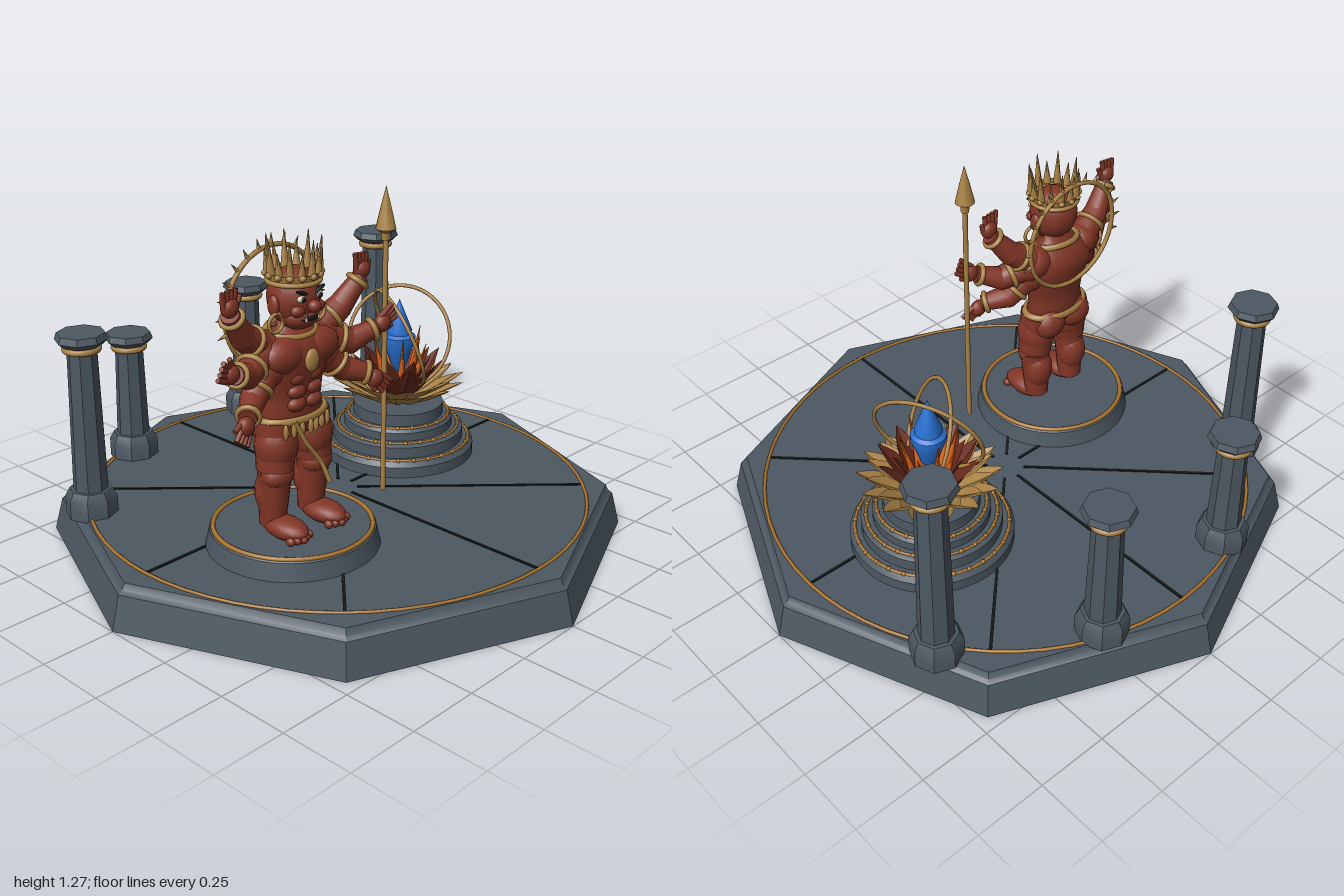
import * as THREE from 'three';
import { toCreasedNormals } from 'three/addons/utils/BufferGeometryUtils.js';

const mat = (name, color, side = THREE.FrontSide) => Object.assign(new THREE.MeshStandardMaterial({ color, side }), { name });
const V = (x, y, z) => new THREE.Vector3(x, y, z);

export function createModel() {
  const stone = mat('slate stone', 0x4d5862), dark = mat('dark groove', 0x15181b);
  const gold = mat('gold', 0xa98144, THREE.DoubleSide), trim = mat('bronze trim', 0xa8722c);
  const skin = mat('red skin', 0x823626), petalRed = mat('deep red petal', 0x6a2a1c, THREE.DoubleSide);
  const orange = mat('flame orange', 0xdc6418), blue = mat('blue jewel', 0x2a72d4), ivory = mat('ivory', 0xd8ccb0);

  const root = new THREE.Group();
  const add = (parent, name, geo, m, x = 0, y = 0, z = 0) => {
    const mesh = new THREE.Mesh(geo, m);
    mesh.name = name;
    mesh.position.set(x, y, z);
    parent.add(mesh);
    return mesh;
  };
  const group = (parent, name, x = 0, y = 0, z = 0) => {
    const g = new THREE.Group();
    g.name = name;
    g.position.set(x, y, z);
    parent.add(g);
    return g;
  };
  const ball = (p, name, m, x, y, z, rx, ry = rx, rz = rx) => {
    const b = add(p, name, new THREE.SphereGeometry(1, 16, 12), m, x, y, z);
    b.scale.set(rx, ry, rz);
    return b;
  };
  // Tapered rod from a to b
  const limb = (p, name, m, a, b, ra, rb, seg = 12) => {
    const d = b.clone().sub(a);
    const mesh = add(p, name, new THREE.CylinderGeometry(rb, ra, d.length(), seg), m);
    mesh.position.copy(a).addScaledVector(d, 0.5);
    mesh.quaternion.setFromUnitVectors(V(0, 1, 0), d.normalize());
    return mesh;
  };
  const ring = (p, name, m, y, r, t, x = 0, z = 0) => {
    const o = add(p, name, new THREE.TorusGeometry(r, t, 8, 64), m, x, y, z);
    o.rotation.x = Math.PI / 2;
    return o;
  };
  const lathe = (pts, seg) => toCreasedNormals(new THREE.LatheGeometry(pts.map(q => new THREE.Vector2(...q)), seg), 0.6);
  const around = (n, fn, off = 0) => { for (let i = 0; i < n; i++) fn(((i + off) / n) * Math.PI * 2, i); };

  // Octagonal platform with inlaid ring and grooves
  add(root, 'platform', lathe([[0, 0], [1, 0], [0.97, 0.115], [0.955, 0.125], [0.945, 0.147], [0, 0.147]], 8), stone);
  ring(root, 'platformRing', trim, 0.148, 0.863, 0.006);
  around(8, a => {
    const g = add(root, 'groove', new THREE.BoxGeometry(0.79, 0.005, 0.01), dark, Math.cos(a) * 0.46, 0.148, -Math.sin(a) * 0.46);
    g.rotation.y = a;
  });

  // Octagonal columns: x, z, height of the top
  for (const [x, z, h] of [[-0.71, -0.475, 0.785], [-0.305, -0.76, 0.62], [0.285, -0.775, 0.68], [0.73, -0.495, 0.855]]) {
    const c = group(root, 'column', x, 0, z);
    add(c, 'columnStone', lathe([[0, 0.14], [0.088, 0.14], [0.088, 0.205], [0.072, 0.235], [0.059, 0.235], [0.05, h - 0.045],
      [0.07, h - 0.04], [0.088, h - 0.022], [0.08, h], [0, h]], 8), stone);
    ring(c, 'columnBand', gold, h - 0.055, 0.055, 0.011);
  }

  // Round dais under the figure
  const statue = group(root, 'guardianFigure', -0.39, 0, 0.17);
  add(statue, 'dais', lathe([[0, 0.14], [0.285, 0.14], [0.27, 0.205], [0.262, 0.212], [0, 0.212]], 48), stone);
  ring(statue, 'daisRing', trim, 0.212, 0.258, 0.008);

  // Torso
  add(statue, 'torso', new THREE.LatheGeometry([[0, 0.53], [0.09, 0.54], [0.125, 0.58], [0.112, 0.64], [0.12, 0.7], [0.15, 0.77],
    [0.155, 0.82], [0.11, 0.87], [0.055, 0.885], [0.05, 0.93]].map(q => new THREE.Vector2(...q)), 28), skin).scale.z = 0.58;
  for (const s of [-1, 1]) {
    ball(statue, 'chestMuscle', skin, s * 0.07, 0.81, 0.04, 0.088, 0.06, 0.052);
    for (const y of [0.735, 0.69, 0.647]) ball(statue, 'abdomen', skin, s * 0.034, y, 0.056, 0.036, 0.025, 0.026);
    ball(statue, 'buttock', skin, s * 0.06, 0.56, -0.04, 0.065, 0.06, 0.05);
    // Leg
    const lx = s * 0.085;
    limb(statue, 'thigh', skin, V(lx, 0.43, 0.01), V(s * 0.07, 0.59, 0), 0.06, 0.07, 16);
    ball(statue, 'thighMuscle', skin, s * 0.077, 0.51, 0.008, 0.072, 0.09, 0.07);
    ball(statue, 'knee', skin, lx, 0.415, 0.02, 0.058, 0.045, 0.05);
    limb(statue, 'shin', skin, V(lx, 0.24, -0.005), V(lx, 0.42, 0.008), 0.043, 0.055, 16);
    ball(statue, 'calf', skin, lx, 0.35, -0.012, 0.054, 0.08, 0.05);
    ball(statue, 'foot', skin, lx, 0.243, 0.055, 0.053, 0.036, 0.09);
    for (let i = -2; i <= 2; i++) ball(statue, 'toe', skin, lx + i * 0.02, 0.227, 0.132 - Math.abs(i) * 0.008, 0.013, 0.014, 0.017);
  }

  // Belt, hanging drops, sash and necklace
  const belt = ring(statue, 'belt', gold, 0.597, 0.124, 0.014);
  belt.scale.y = 0.62;
  for (let i = -3; i <= 3; i++) ball(statue, 'beltDrop', gold, i * 0.03, 0.57, 0.085 - Math.abs(i) * 0.006, 0.01, 0.026, 0.008);
  add(statue, 'sash', new THREE.TubeGeometry(new THREE.CatmullRomCurve3(
    [V(-0.06, 0.6, 0.075), V(-0.02, 0.52, 0.085), V(0.035, 0.44, 0.095), V(0.058, 0.37, 0.11)]), 24, 0.008, 8), gold);
  const collar = ring(statue, 'necklace', gold, 0.872, 0.085, 0.012);
  collar.scale.y = 0.75;
  collar.rotation.x += 0.2;
  ball(statue, 'pendant', gold, 0, 0.79, 0.093, 0.028, 0.038, 0.014);

  // Head and face
  const head = group(statue, 'head', 0, 0.97, 0.015);
  ball(head, 'skull', skin, 0, 0.01, 0, 0.084, 0.095, 0.084);
  ball(head, 'jaw', skin, 0, -0.045, 0.022, 0.066, 0.045, 0.06);
  ball(head, 'nose', skin, 0, -0.005, 0.088, 0.022, 0.02, 0.022);
  ball(head, 'mouth', dark, 0, -0.045, 0.07, 0.036, 0.009, 0.016);
  for (const s of [-1, 1]) {
    ball(head, 'ear', skin, s * 0.085, -0.005, 0, 0.014, 0.034, 0.022);
    ball(head, 'eye', ivory, s * 0.035, 0.02, 0.071, 0.018, 0.011, 0.011);
    ball(head, 'pupil', dark, s * 0.035, 0.02, 0.079, 0.009, 0.009, 0.006);
    ball(head, 'brow', dark, s * 0.037, 0.04, 0.073, 0.025, 0.006, 0.01).rotation.z = s * 0.35;
    ball(head, 'cheek', skin, s * 0.042, -0.018, 0.06, 0.026, 0.02, 0.02);
    limb(head, 'fang', ivory, V(s * 0.026, -0.05, 0.08), V(s * 0.028, -0.026, 0.084), 0.005, 0.001, 8);
    add(head, 'earring', new THREE.TorusGeometry(0.029, 0.006, 8, 24), gold, s * 0.09, -0.055, 0.015);
  }

  // Crown: band, beads and spikes
  add(head, 'crownBand', new THREE.CylinderGeometry(0.086, 0.08, 0.03, 32, 1, true), gold, 0, 0.075, 0);
  ring(head, 'crownRim', gold, 0.062, 0.082, 0.008);
  around(14, (a, i) => {
    const x = Math.sin(a), z = Math.cos(a), tall = i % 2 ? 0.16 : 0.198;
    limb(head, 'crownSpike', gold, V(x * 0.078, 0.08, z * 0.078), V(x * 0.087, tall, z * 0.087), 0.015, 0.001, 6);
    ball(head, 'crownBead', gold, x * 0.086, 0.085, z * 0.086, 0.011);
  });

  // Spiked halo behind the head
  const halo = group(statue, 'halo', 0, 0.925, -0.08);
  add(halo, 'haloRing', new THREE.TorusGeometry(0.195, 0.008, 8, 64), gold);
  for (let i = 0; i <= 14; i++) {
    const a = -0.25 + (i / 14) * (Math.PI + 0.5), x = Math.cos(a), y = Math.sin(a);
    limb(halo, 'haloSpike', gold, V(x * 0.195, y * 0.195, 0), V(x * 0.233, y * 0.233, 0), 0.008, 0.001, 6);
  }

  // Three pairs of arms: shoulder, elbow, wrist, fingertip direction
  const arms = [
    [V(0.11, 0.83, -0.01), V(0.205, 0.895, 0.01), V(0.277, 0.985, 0.035), V(0.1, 1, 0.1)],
    [V(0.13, 0.82, 0), V(0.22, 0.785, 0.04), V(0.305, 0.82, 0.08), V(0.75, 0.35, 0.2)],
    [V(0.12, 0.77, 0.01), V(0.195, 0.7, 0.035), V(0.268, 0.675, 0.09), V(0.55, -0.8, 0.25)],
  ];
  for (const s of [-1, 1]) arms.forEach(pts => {
    const arm = group(statue, s > 0 ? 'leftArm' : 'rightArm');
    const [sh, el, wr, dir] = pts.map(p => V(p.x * s, p.y, p.z));
    dir.normalize();
    limb(arm, 'upperArm', skin, sh, el, 0.054, 0.042, 14);
    ball(arm, 'shoulder', skin, sh.x, sh.y, sh.z, 0.06);
    ball(arm, 'elbow', skin, el.x, el.y, el.z, 0.042);
    limb(arm, 'forearm', skin, el, wr, 0.042, 0.029, 14);
    const band = (a, b, t, r) => {
      const o = add(arm, 'armBand', new THREE.TorusGeometry(r, 0.009, 8, 24), gold);
      o.position.lerpVectors(a, b, t);
      o.quaternion.setFromUnitVectors(V(0, 0, 1), b.clone().sub(a).normalize());
    };
    band(sh, el, 0.65, 0.046);
    band(el, wr, 0.85, 0.033);
    const palm = wr.clone().addScaledVector(dir, 0.024);
    ball(arm, 'palm', skin, palm.x, palm.y, palm.z, 0.031, 0.031, 0.024);
    const across = V(dir.y, -dir.x, 0).normalize();
    for (let i = -2; i <= 2; i++) {
      const a = palm.clone().addScaledVector(across, i * 0.012);
      const b = a.clone().addScaledVector(dir, i === 2 ? 0.03 : 0.055).addScaledVector(across, i * 0.005 - s * 0.008);
      limb(arm, 'finger', skin, a, b, 0.01, 0.008, 8);
    }
  });

  // Spear
  const spear = group(root, 'spear', -0.035, 0, 0.24);
  limb(spear, 'shaft', gold, V(0, 0.23, 0), V(0, 1.13, 0), 0.009, 0.009);
  add(spear, 'spearHead', lathe([[0, 1.09], [0.014, 1.095], [0.016, 1.12], [0.034, 1.132], [0.018, 1.2], [0, 1.27]], 12), gold);

  // Stepped lotus pedestal
  const lotus = group(root, 'lotusShrine', 0.41, 0, -0.085);
  add(lotus, 'steps', lathe([[0, 0.14], [0.28, 0.14], [0.28, 0.185], [0.265, 0.205], [0.24, 0.205], [0.24, 0.245], [0.225, 0.255],
    [0.2, 0.255], [0.2, 0.285], [0.19, 0.297], [0.165, 0.297], [0.165, 0.34], [0, 0.34]], 48), stone);
  [[0.205, 0.262, 30], [0.255, 0.222, 26], [0.298, 0.186, 22]].forEach(([y, r, n]) => {
    ring(lotus, 'stepTrim', trim, y, r, 0.005);
    around(n, a => ball(lotus, 'stud', trim, Math.sin(a) * r, y, Math.cos(a) * r, 0.008));
  });

  // Petal: folded leaf rising from (r0, y0) to (r1, y1)
  const petals = (name, m, n, off, r0, y0, r1, y1, w) => {
    const geo = new THREE.PlaneGeometry(2, 1, 2, 6), p = geo.attributes.position;
    for (let i = 0; i < p.count; i++) {
      const t = p.getY(i) + 0.5, u = p.getX(i);
      const half = w * (0.35 + 1.3 * t) * Math.min(1, (1 - t) * 2.1) * 0.85;
      p.setXYZ(i, u * half, y0 + (y1 - y0) * t ** 1.3 + Math.abs(u) * half * 0.35, r0 + (r1 - r0) * t - Math.abs(u) * half * 0.15);
    }
    const leaf = toCreasedNormals(geo, 0.5);
    around(n, a => { add(lotus, name, leaf, m).rotation.y = a; }, off);
  };
  petals('outerPetal', gold, 14, 0, 0.07, 0.345, 0.245, 0.435, 0.046);
  petals('middlePetal', gold, 14, 0.5, 0.06, 0.355, 0.215, 0.45, 0.042);
  petals('innerPetal', petalRed, 10, 0, 0.05, 0.36, 0.175, 0.515, 0.046);
  petals('heartPetal', petalRed, 8, 0.5, 0.035, 0.37, 0.125, 0.53, 0.04);

  // Flames and jewel
  around(9, (a, i) => {
    const x = Math.sin(a), z = Math.cos(a);
    limb(lotus, 'flame', orange, V(x * 0.04, 0.36, z * 0.04), V(x * 0.1, i % 2 ? 0.56 : 0.61, z * 0.1), 0.02, 0.001, 8);
  });
  ball(lotus, 'lotusHeart', orange, 0, 0.4, 0, 0.055, 0.05, 0.055);
  add(lotus, 'jewel', lathe([[0, 0.44], [0.03, 0.48], [0.045, 0.53], [0.06, 0.57], [0.06, 0.59], [0.046, 0.6], [0.046, 0.615], [0, 0.73]], 16), blue);

  // Leaning hoops around the jewel
  for (const s of [-1, 1]) {
    const hoop = add(lotus, 'hoop', new THREE.TorusGeometry(0.188, 0.007, 8, 64), gold, 0, 0.585, 0);
    hoop.rotation.set(0, s * 1.12, s * 0.4, 'ZYX');
  }
  return root;
}
